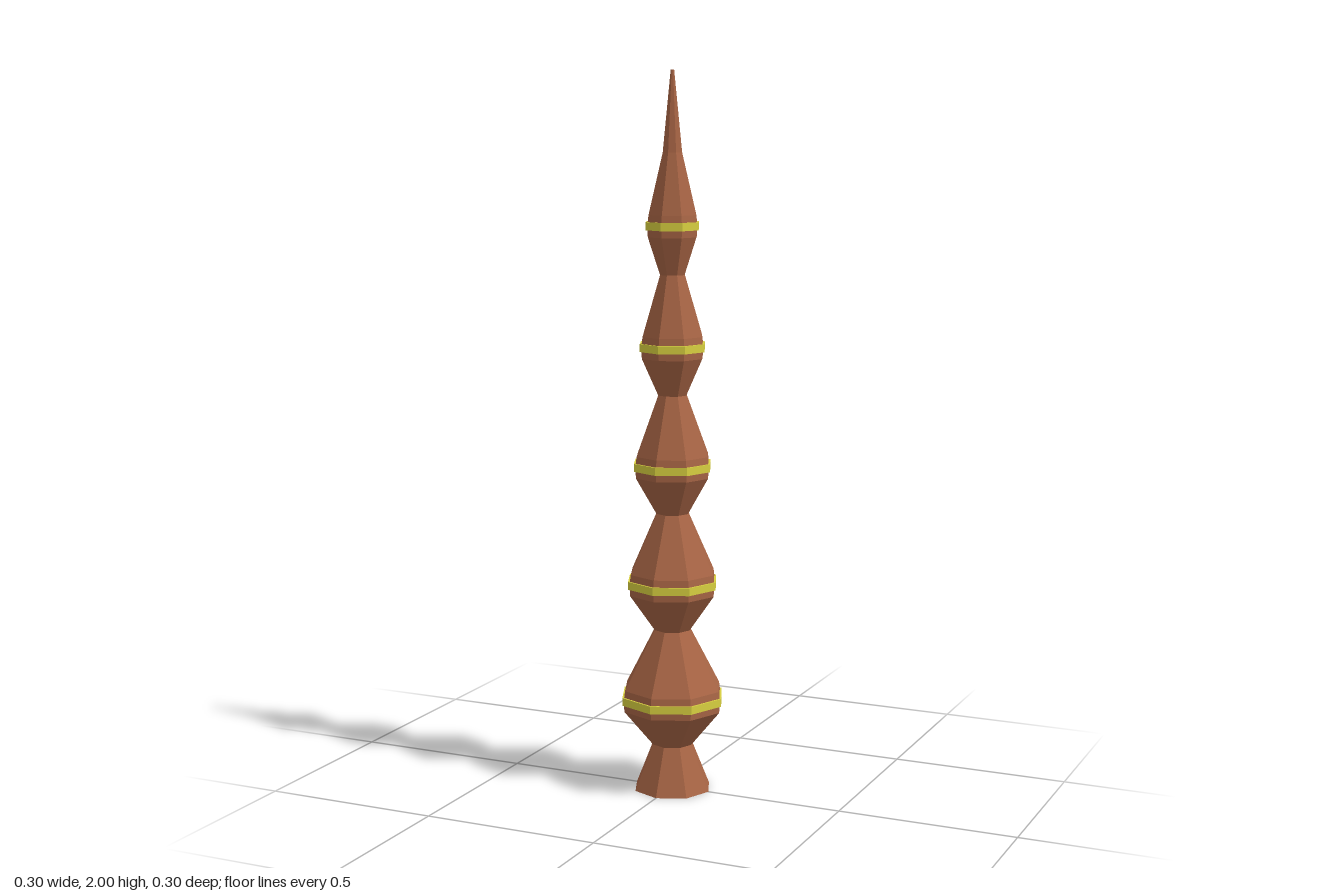
import * as THREE from 'three';

const SIDES = 8;

// Eight-sided faceted turning from [radius, y] pairs, listed bottom to top
function turned(name, profile, material) {
  const points = profile.map(([r, y]) => new THREE.Vector2(r, y));
  const geometry = new THREE.LatheGeometry(points, SIDES).toNonIndexed();
  geometry.computeVertexNormals();
  const mesh = new THREE.Mesh(geometry, material);
  mesh.name = name;
  return mesh;
}

export function createModel() {
  const model = new THREE.Group();
  model.name = 'segmentedSpire';

  const clay = new THREE.MeshStandardMaterial({ color: 0xa86545 });
  clay.name = 'reddish brown';
  const yellow = new THREE.MeshStandardMaterial({ color: 0xd8d040 });
  yellow.name = 'yellow';

  // Flared foot, closed underneath
  model.add(turned('foot', [[0, 0], [0.111, 0], [0.058, 0.13]], clay));

  // Five bulbs, shrinking upwards, each with a raised yellow band
  const step = 0.33;
  const neck = (i) => 0.058 - i * 0.0055;
  for (let i = 0; i < 5; i++) {
    const y = 0.13 + i * step;
    const r = 0.145 - i * 0.018;
    const profile = [
      [neck(i), y],
      [r - 0.002, y + 0.103],
      [r, y + 0.133],
      [r - 0.004, y + 0.163],
    ];
    // The top bulb draws out into a long needle
    if (i < 4) profile.push([neck(i + 1), y + step]);
    else profile.push([0.028, 1.78], [0.005, 2], [0, 2]);
    model.add(turned('bulb' + (i + 1), profile, clay));

    const low = y + 0.122;
    const high = y + 0.144;
    const outer = r + 0.004;
    const inner = r - 0.004;
    model.add(turned('band' + (i + 1),
      [[inner, low], [outer, low], [outer, high], [inner, high]], yellow));
  }
  return model;
}
